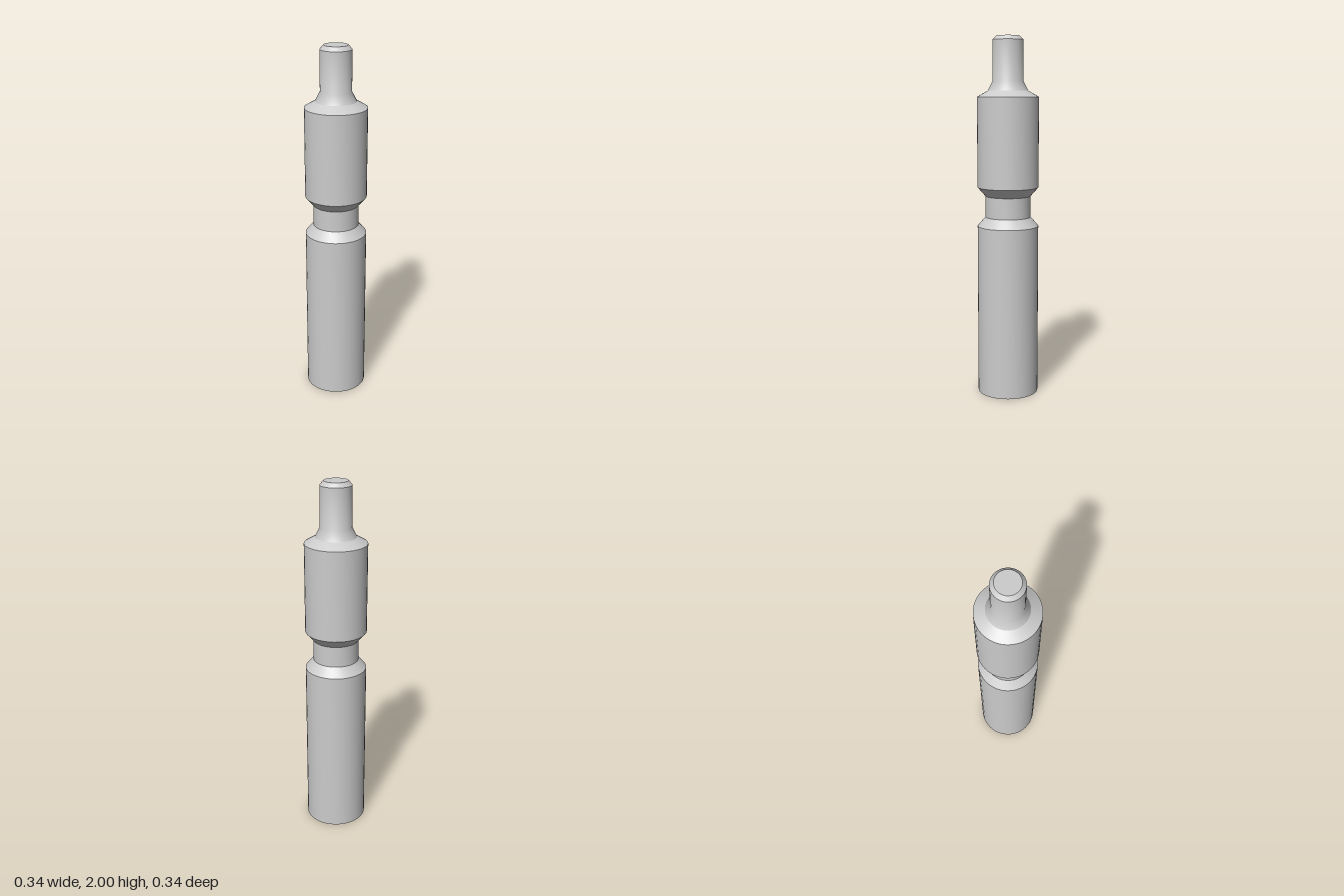
import * as THREE from 'three';
import { toCreasedNormals } from 'three/addons/utils/BufferGeometryUtils.js';

const SIDES = 40;

export function createModel() {
  const group = new THREE.Group();
  group.name = 'turnedPin';
  const material = new THREE.MeshStandardMaterial({ color: 0xcccccc });

  // Turned profile as [radius, height], from the base centre to the tip centre
  const profile = [
    [0, 0], [0.17, 0], [0.17, 0.957],   // lower shank
    [0.126, 1.008], [0.126, 1.125],     // relief groove
    [0.17, 1.175], [0.17, 1.672],       // upper shank
    [0.111, 1.706], [0.085, 1.757],     // shoulder and flared root
    [0.085, 1.978], [0.065, 2], [0, 2], // chamfered spigot
  ].map(([r, y]) => new THREE.Vector2(r, y));

  // Smooth around the axis, sharp at the steps
  const lathe = new THREE.LatheGeometry(profile, SIDES);
  const body = new THREE.Mesh(toCreasedNormals(lathe, Math.PI / 6), material);
  body.name = 'pinBody';
  group.add(body);

  return group;
}
